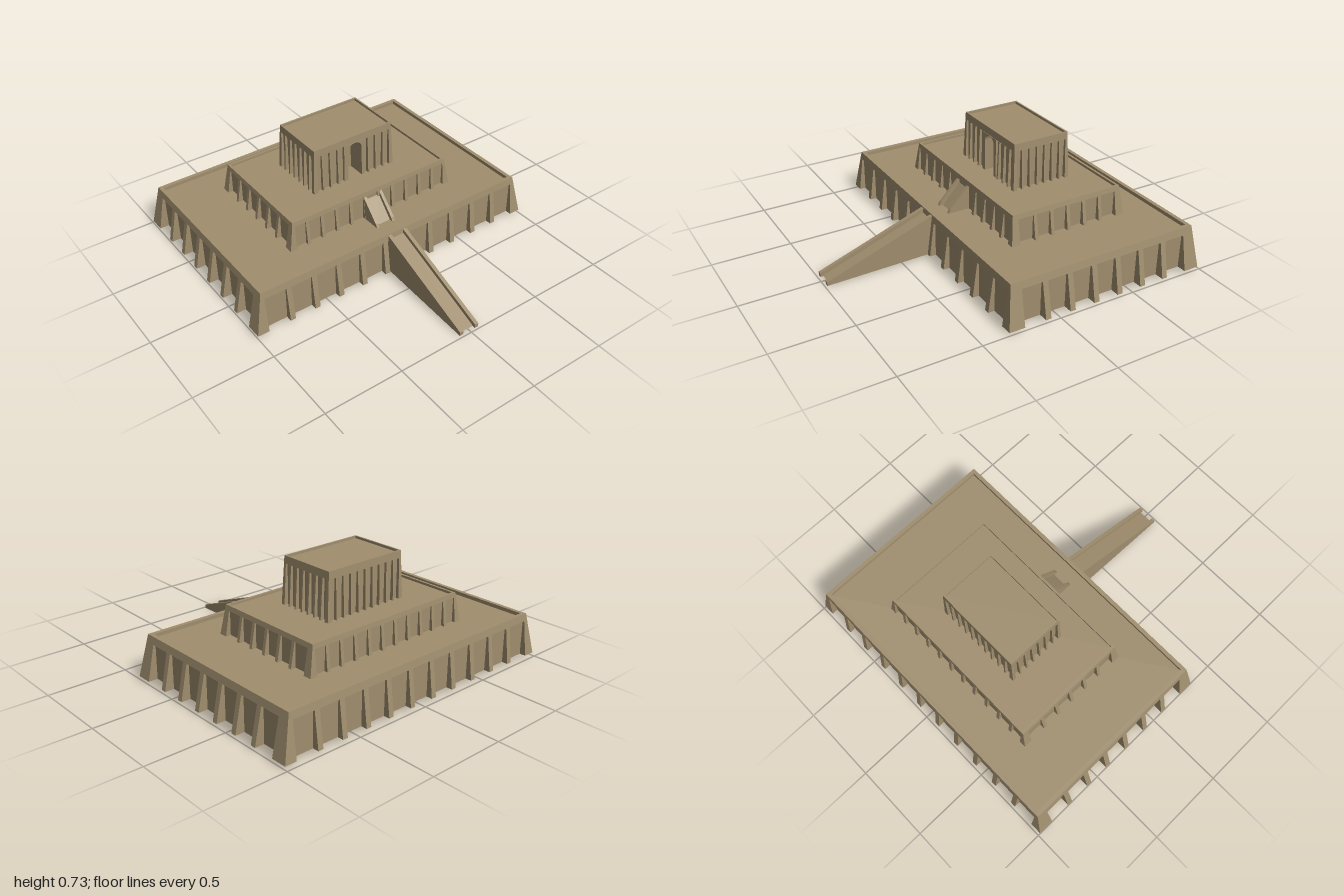
import * as THREE from 'three';

const mudBrick = new THREE.MeshStandardMaterial({ color: 0xa08e6e });
mudBrick.name = 'mud brick';

const CENTER_Z = -0.325;

function add(parent, geometry, name) {
  const mesh = new THREE.Mesh(geometry, mudBrick);
  mesh.name = name;
  parent.add(mesh);
  return mesh;
}

// Closed solid through stacked rectangles [x0, x1, z0, z1, y], flat faced
function loft(rects) {
  const pos = [];
  const loops = rects.map(([x0, x1, z0, z1, y]) => [[x0, y, z1], [x1, y, z1], [x1, y, z0], [x0, y, z0]]);
  const quad = (a, b, c, d) => [a, b, c, a, c, d].forEach((p) => pos.push(...p));
  for (let k = 0; k < loops.length - 1; k++) {
    for (let i = 0; i < 4; i++) {
      const j = (i + 1) % 4;
      quad(loops[k][i], loops[k][j], loops[k + 1][j], loops[k + 1][i]);
    }
  }
  const [a, b, c, d] = loops[0];
  quad(a, d, c, b);
  quad(...loops[loops.length - 1]);
  const g = new THREE.BufferGeometry();
  g.setAttribute('position', new THREE.Float32BufferAttribute(pos, 3));
  g.computeVertexNormals();
  return g;
}

const centred = (hx, hz, y) => [-hx, hx, -hz, hz, y];

// Side profile of [z, y] points, extruded between x0 and x1
function sideways(points, x0, x1) {
  const shape = new THREE.Shape(points.map(([z, y]) => new THREE.Vector2(z, y)));
  const g = new THREE.ExtrudeGeometry(shape, { depth: x1 - x0, bevelEnabled: false });
  g.rotateY(-Math.PI / 2);
  g.translate(x1, 0, 0);
  return g;
}

// Wall outline with an arched doorway cut up from its foot
function archedWall(x0, x1, y0, y1, z0, z1) {
  const cx = 0.01, r = 0.05, spring = 0.63;
  const s = new THREE.Shape();
  s.moveTo(x0, y0);
  s.lineTo(cx - r, y0);
  s.lineTo(cx - r, spring);
  s.absarc(cx, spring, r, Math.PI, 0, true);
  s.lineTo(cx + r, y0);
  s.lineTo(x1, y0);
  s.lineTo(x1, y1);
  s.lineTo(x0, y1);
  const g = new THREE.ExtrudeGeometry(s, { depth: z1 - z0, bevelEnabled: false, curveSegments: 16 });
  g.translate(0, 0, z0);
  return g;
}

// One terrace: recessed core, sloping top band with parapet, pilasters and corners
function makeTier(name, t) {
  const tier = new THREE.Group();
  tier.name = name;
  tier.position.z = CENTER_Z;
  const { base: [bx, bz], top: [tx, tz], core: [cx, cz], y0, yBand, y1 } = t;
  const f = (yBand - y0) / (y1 - y0);
  const mx = bx + (tx - bx) * f, mz = bz + (tz - bz) * f;

  // core, cut back behind the doorway where there is one
  const front = cz - (t.doorDepth || 0);
  add(tier, loft([[-cx, cx, -cz, front, y0], [-cx, cx, -cz, front, yBand + 0.005]]), 'core');
  if (t.doorDepth) {
    add(tier, archedWall(-cx, cx, y0, yBand + 0.005, front, cz), 'doorwayWall');
    add(tier, archedWall(-0.07, 0.085, y0, yBand, cz - 0.002, mz + 0.003), 'doorwaySurround');
  }

  // band, parapet rim and sunken floor
  add(tier, loft([
    centred(mx, mz, yBand), centred(tx, tz, y1),
    centred(tx - t.rim, tz - t.rim, y1), centred(tx - t.rim, tz - t.rim, t.floor),
  ]), 'parapetAndFloor');

  // pilasters on the long and short walls
  const w = t.width / 2;
  for (const s of [-1, 1]) {
    const span = (inner, outer) => (s > 0 ? [inner, outer] : [-outer, -inner]);
    for (let i = 1; i < t.panels[0]; i++) {
      const x = (i - t.panels[0] / 2) * t.pitch[0];
      if (t.doorDepth && s > 0 && Math.abs(x - 0.01) < 0.08) continue;
      add(tier, loft([
        [x - w, x + w, ...span(cz - 0.005, bz), y0],
        [x - w, x + w, ...span(cz - 0.005, mz), yBand],
      ]), 'longWallPilaster');
    }
    for (let i = 1; i < t.panels[1]; i++) {
      const z = (i - t.panels[1] / 2) * t.pitch[1];
      add(tier, loft([
        [...span(cx - 0.005, bx), z - w, z + w, y0],
        [...span(cx - 0.005, mx), z - w, z + w, yBand],
      ]), 'shortWallPilaster');
    }
    // corner piers
    for (const q of [-1, 1]) {
      const pier = (ox, oz, y) => [
        ...span(t.corner[0], ox),
        ...(q > 0 ? [t.corner[1], oz] : [-oz, -t.corner[1]]), y,
      ];
      add(tier, loft([pier(bx, bz, y0), pier(mx, mz, yBand)]), 'cornerPier');
    }
  }
  return tier;
}

// Sloping way with a raised wall along each side
function makeRamp(name, wall, floor, half, thick) {
  const ramp = new THREE.Group();
  ramp.name = name;
  add(ramp, sideways(wall, -half, -half + thick), 'rightRampWall');
  add(ramp, sideways(wall, half - thick, half), 'leftRampWall');
  add(ramp, sideways(floor, -half + thick, half - thick), 'rampFloor');
  return ramp;
}

export function createModel() {
  const model = new THREE.Group();
  model.name = 'steppedTemple';

  model.add(makeTier('lowerTerrace', {
    base: [1, 0.66], top: [0.945, 0.625], core: [0.94, 0.62],
    y0: 0.02, yBand: 0.24, y1: 0.285, floor: 0.262, rim: 0.025,
    panels: [11, 7], pitch: [0.17, 0.163], width: 0.034, corner: [0.925, 0.56],
  }));
  model.add(makeTier('middleTerrace', {
    base: [0.6, 0.395], top: [0.568, 0.375], core: [0.566, 0.372],
    y0: 0.26, yBand: 0.415, y1: 0.445, floor: 0.43, rim: 0.015,
    panels: [11, 6], pitch: [0.104, 0.113], width: 0.022, corner: [0.555, 0.34],
  }));
  model.add(makeTier('upperShrine', {
    base: [0.298, 0.197], top: [0.283, 0.187], core: [0.272, 0.175],
    y0: 0.428, yBand: 0.68, y1: 0.727, floor: 0.712, rim: 0.01, doorDepth: 0.1,
    panels: [10, 7], pitch: [0.0562, 0.053], width: 0.012, corner: [0.268, 0.172],
  }));

  // long ramp from the ground, very slightly askew
  const lower = makeRamp('lowerRamp',
    [[0.335, 0.02], [0.985, 0], [0.985, 0.025], [0.3, 0.278], [0.29, 0.02]],
    [[0.94, 0.002], [0.968, 0.005], [0.3, 0.252], [0.29, 0.236]], 0.067, 0.024);
  lower.position.x = 0.01;
  lower.rotation.y = -0.015;
  model.add(lower);

  // short ramp up to the middle terrace
  const upper = makeRamp('upperRamp',
    [[0.04, 0.26], [0.19, 0.26], [0.176, 0.285], [0.05, 0.415], [0.04, 0.415]],
    [[0.04, 0.26], [0.165, 0.26], [0.05, 0.387], [0.04, 0.387]], 0.068, 0.02);
  upper.position.x = 0.007;
  model.add(upper);

  return model;
}
